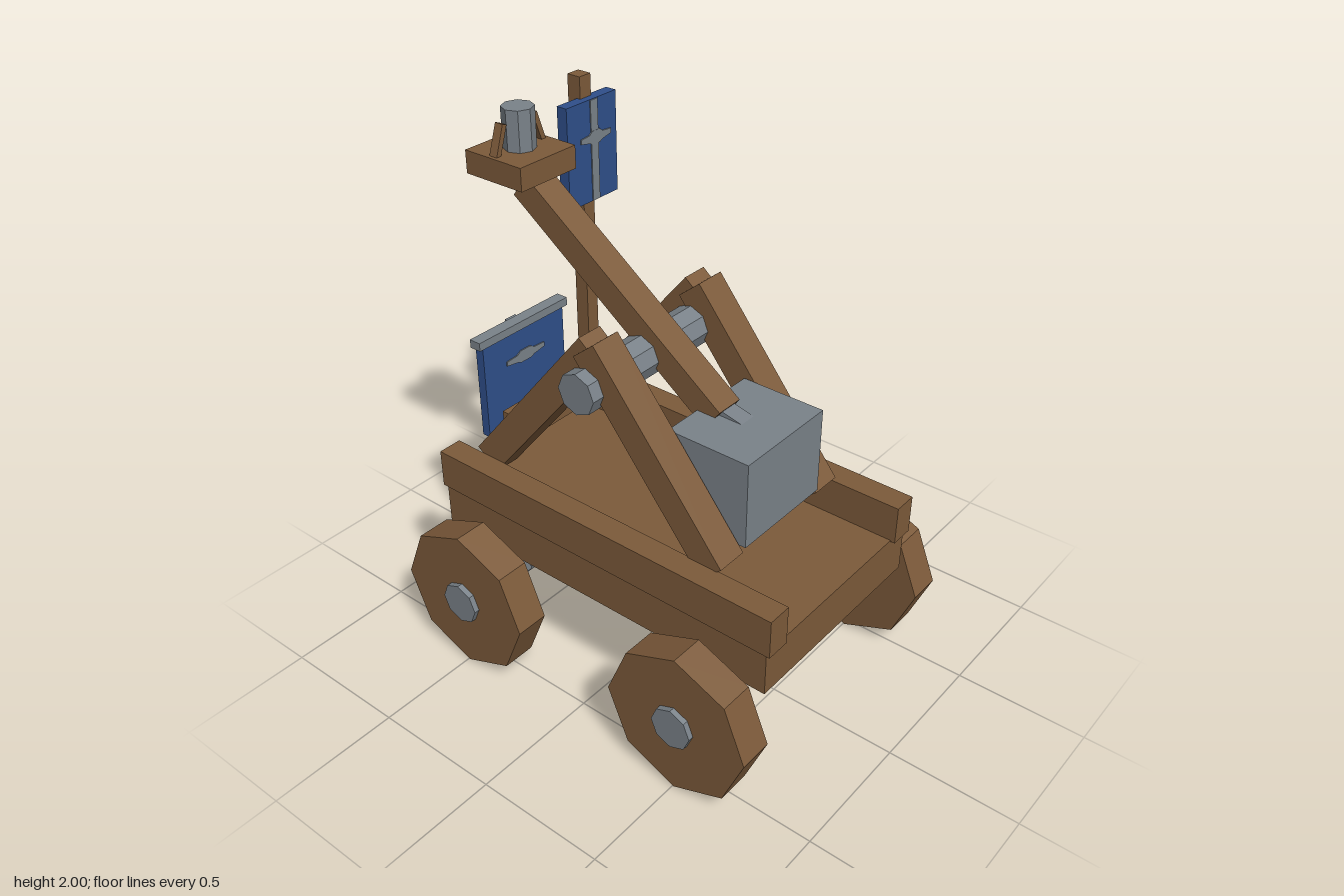
import * as THREE from 'three';

const mat = (name, color) => {
  const m = new THREE.MeshStandardMaterial({ color, flatShading: true });
  m.name = name;
  return m;
};

export function createModel() {
  const wood = mat('wood', 0x7c5a3a);
  const metal = mat('metal', 0x7a8289);
  const blue = mat('blue', 0x2f4f8a);
  const model = new THREE.Group();
  model.name = 'catapult';

  const add = (name, geometry, material, x, y, z) => {
    const mesh = new THREE.Mesh(geometry, material);
    mesh.name = name;
    mesh.position.set(x, y, z);
    model.add(mesh);
    return mesh;
  };
  // box given by its limits on each axis
  const box = (name, material, [x0, x1], [y0, y1], [z0, z1]) =>
    add(name, new THREE.BoxGeometry(x1 - x0, y1 - y0, z1 - z0), material,
      (x0 + x1) / 2, (y0 + y1) / 2, (z0 + z1) / 2);
  // eight-sided rod along x
  const rod = (name, material, r, x0, x1, y, z) =>
    add(name, new THREE.CylinderGeometry(r, r, x1 - x0, 8).rotateZ(Math.PI / 2),
      material, (x0 + x1) / 2, y, z);
  // square beam in the yz plane from a to b, given as [y, z]
  const beam = (name, material, x, width, thick, a, b) => {
    const dy = b[0] - a[0], dz = b[1] - a[1];
    const m = add(name, new THREE.BoxGeometry(width, thick, Math.hypot(dy, dz)),
      material, x, (a[0] + b[0]) / 2, (a[1] + b[1]) / 2);
    m.rotation.x = Math.atan2(-dy, dz);
    return m;
  };

  // chassis
  box('chassis', wood, [-0.42, 0.42], [0.44, 0.615], [-0.73, 0.738]);
  for (const s of [-1, 1]) {
    box('sideRail', wood, s < 0 ? [-0.427, -0.332] : [0.332, 0.427], [0.61, 0.76], [-0.745, 0.755]);
  }

  // wheels and axles
  for (const z of [0.505, -0.495]) {
    rod('wheelAxle', metal, 0.05, -0.6, 0.6, 0.29, z);
    for (const s of [-1, 1]) {
      rod('wheel', wood, 0.289, s * 0.535 - 0.065, s * 0.535 + 0.065, 0.289, z);
      rod('hub', metal, 0.081, s * 0.6 - 0.021, s * 0.6 + 0.021, 0.29, z);
      box('axleBracket', metal, [s * 0.353 - 0.055, s * 0.353 + 0.055], [0.28, 0.445], [z - 0.055, z + 0.055]);
    }
  }

  // A-frames
  for (const s of [-1, 1]) {
    beam('frontLeg', wood, s * 0.277, 0.122, 0.115, [0.738, 0.445], [1.388, -0.088]);
    beam('rearLeg', wood, s * 0.277, 0.104, 0.115, [0.738, -0.599], [1.388, -0.068]);
  }
  rod('pivotBar', metal, 0.078, -0.388, 0.386, 1.248, -0.08);
  box('rearCrossbeam', wood, [-0.275, 0.275], [0.84, 0.938], [-0.555, -0.462]);

  // throwing arm with its tie and counterweight
  beam('throwingArm', wood, 0, 0.112, 0.105, [1.107, 0.229], [1.725, -0.62]);
  beam('tieRod', wood, 0, 0.025, 0.022, [1.265, 0.03], [0.915, -0.51]);
  box('counterweight', metal, [-0.212, 0.212], [0.793, 1.124], [0.165, 0.495]);
  const hanger = box('counterweightHanger', metal, [-0.034, 0.034], [1.07, 1.14], [0.19, 0.33]);
  hanger.rotation.x = 0.22;

  // platform holding the load
  box('loadPlatform', wood, [-0.135, 0.135], [1.75, 1.836], [-0.793, -0.53]);
  add('load', new THREE.CylinderGeometry(0.059, 0.059, 0.155, 8), metal, 0, 1.908, -0.663);
  for (const s of [-1, 1]) {
    const peg = box('platformPeg', wood, [s * 0.094 - 0.01, s * 0.094 + 0.01], [1.82, 1.944], [-0.69, -0.655]);
    peg.rotation.z = s * 0.33;
  }

  // plain cross mark: a slim tapered bar
  const mark = (name, x, y, z, w, h, depth) => {
    const pts = [[-1, 0.35], [-0.45, 0.5], [-0.25, 1], [0.25, 1], [0.45, 0.5], [1, 0.35],
      [1, -0.35], [0.45, -0.7], [0.25, -1], [-0.25, -1], [-0.45, -0.7], [-1, -0.35]];
    const shape = new THREE.Shape(pts.map(([a, b]) => new THREE.Vector2(a * w, b * h)).reverse());
    const g = new THREE.ExtrudeGeometry(shape, { depth, bevelEnabled: false });
    add(name, g.translate(0, 0, -depth / 2), metal, x, y, z);
  };

  // flag on its pole
  box('flagPole', wood, [0.314, 0.371], [0.61, 2], [-0.723, -0.665]);
  box('flag', blue, [0.21, 0.472], [1.53, 1.918], [-0.682, -0.637]);
  box('flagStripe', metal, [0.332, 0.37], [1.532, 1.916], [-0.686, -0.633]);
  mark('flagMark', 0.357, 1.775, -0.6595, 0.08, 0.025, 0.055);

  // rear shield
  box('shield', blue, [-0.212, 0.212], [0.728, 1.125], [-0.742, -0.705]);
  box('shieldTopBar', metal, [-0.232, 0.232], [1.115, 1.148], [-0.747, -0.698]);
  box('shieldStrap', metal, [-0.026, 0.026], [0.584, 1.135], [-0.774, -0.73]);
  mark('shieldMark', 0, 1.0, -0.7235, 0.1, 0.025, 0.046);

  return model;
}
